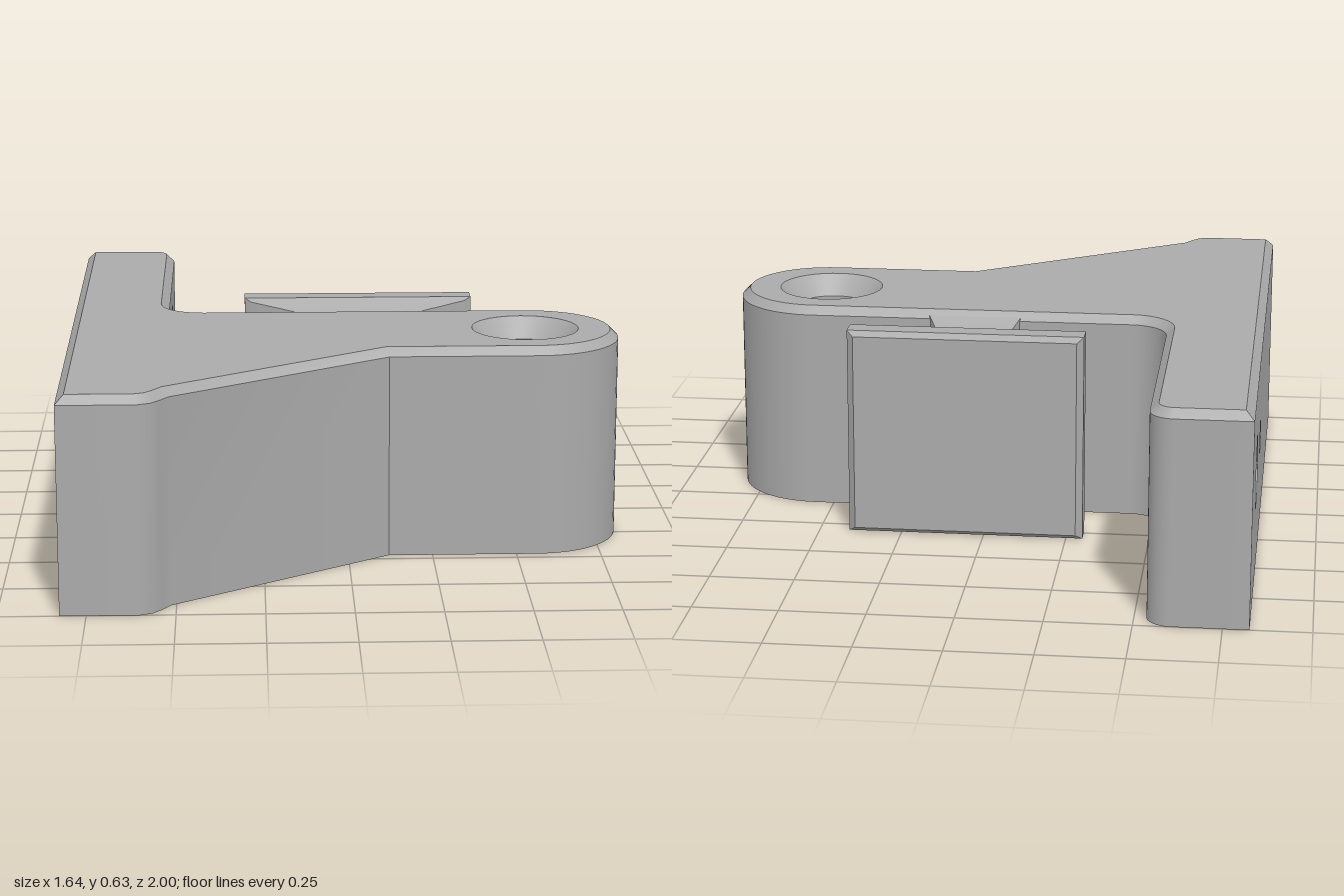
import * as THREE from 'three';
import { toCreasedNormals } from 'three/addons/utils/BufferGeometryUtils.js';

// Working frame: x right, v towards the back, h up; turned upright at the end.
const H = 0.63, CHAMFER = 0.025, OUTER = -0.825, INNER = -0.535;

function arc(cx, cy, r, from, to, n) {
  return Array.from({ length: n + 1 }, (_, i) => {
    const a = THREE.MathUtils.degToRad(from + (to - from) * i / n);
    return [cx + r * Math.cos(a), cy + r * Math.sin(a)];
  });
}

// Moves each side of a counter-clockwise outline inwards by d
function inset(pts, d) {
  const n = pts.length;
  const normal = (a, b) => new THREE.Vector2(a[1] - b[1], b[0] - a[0]).normalize();
  return pts.map((p, i) => {
    const m = normal(pts[(i + n - 1) % n], p), k = normal(p, pts[(i + 1) % n]);
    const s = d / (1 + m.dot(k));
    return [p[0] + (m.x + k.x) * s, p[1] + (m.y + k.y) * s];
  });
}

// Joins two closed rings of 3D points, leaving out chosen sides
function loft(out, a, b, skip = () => false) {
  a.forEach((p, i) => {
    if (skip(i)) return;
    const j = (i + 1) % a.length;
    out.push(...p, ...a[j], ...b[j], ...p, ...b[j], ...b[i]);
  });
}

// Fills an outline with holes; place() puts each 2D point in space
function cap(out, outline, holes, place, flip = false) {
  const vec = (ring) => ring.map((p) => new THREE.Vector2(...p));
  const all = [...outline, ...holes.flat()];
  for (const [a, b, c] of THREE.ShapeUtils.triangulateShape(vec(outline), holes.map(vec))) {
    for (const i of flip ? [a, c, b] : [a, b, c]) out.push(...place(all[i]));
  }
}

// Round below, pointed above
function teardrop(v, h, r, d) {
  return [...arc(v, h, r, 180, 360, 16), [v + d, h], [v, h + d], [v - d, h]];
}

function toMesh(name, positions, material) {
  const geo = new THREE.BufferGeometry();
  geo.setAttribute('position', new THREE.Float32BufferAttribute(positions, 3));
  geo.rotateX(-Math.PI / 2);
  const mesh = new THREE.Mesh(toCreasedNormals(geo, 0.55), material);
  mesh.name = name;
  return mesh;
}

function bracketBody() {
  const out = [];
  const outline = [
    [OUTER, -1], [-0.6, -1], [-0.565, -0.985], [-0.54, -0.955], [-0.515, -0.915],
    [0.12, -0.465],
    ...arc(0.56, -0.205, 0.26, -90, 90, 32),
    ...arc(-0.425, 0.165, 0.11, 270, 180, 8),
    ...arc(-0.605, 0.93, 0.07, 0, 90, 8),
    [OUTER, 1],
  ];
  const rim = inset(outline, CHAMFER);
  const at = (h) => ([x, v]) => [x, v, h];
  const level = (pts, h) => pts.map(at(h));
  const shoulder = H - CHAMFER;

  // Sides; the two wall faces with holes are filled separately
  const n = outline.length;
  const on = (i, x) => Math.abs(outline[i % n][0] - x) < 1e-6 && Math.abs(outline[(i + 1) % n][0] - x) < 1e-6;
  loft(out, level(outline, 0), level(outline, shoulder), (i) => on(i, OUTER) || on(i, INNER));
  loft(out, level(outline, shoulder), level(rim, H));

  // Upright bolt hole, countersunk at both ends
  const bore = (r) => arc(0.54, -0.205, r, 0, 360, 40).slice(0, -1);
  const steps = [[0, 0.16], [0.06, 0.105], [H - 0.06, 0.105], [H, 0.16]];
  for (let i = 0; i < 3; i++) {
    const [[h0, r0], [h1, r1]] = [steps[i], steps[i + 1]];
    loft(out, level(bore(r1), h1), level(bore(r0), h0));
  }
  cap(out, rim, [bore(0.16)], at(H));
  cap(out, outline, [bore(0.16)], at(0), true);

  // Cross holes through the wall: one countersunk, one small and plain
  const inX = (x) => ([v, h]) => [x, v, h];
  const big = teardrop(0.6, 0.32, 0.1, 0.13);
  const sink = teardrop(0.6, 0.32, 0.165, 0.22);
  const small = teardrop(0.235, 0.32, 0.05, 0.065);
  const tunnel = (r0, x0, r1, x1) => loft(out, r1.map(inX(x1)), r0.map(inX(x0)));
  tunnel(big, OUTER, big, INNER - 0.09);
  tunnel(big, INNER - 0.09, sink, INNER);
  tunnel(small, OUTER, small, INNER);

  const rect = (v0, v1) => [[v0, 0], [v1, 0], [v1, shoulder], [v0, shoulder]];
  cap(out, rect(0.165, 0.93), [sink, small], inX(INNER));
  cap(out, rect(-1, 1), [big, small], inX(OUTER), true);
  return out;
}

// Waisted neck flaring into the clamp plate: [v, half width, margin in height]
function clampPlate() {
  const out = [];
  const sections = [
    [0.05, 0.14, 0.015], [0.085, 0.12, 0.04], [0.135, 0.115, 0.06], [0.17, 0.14, 0.045],
    [0.222, 0.335, 0.01], [0.235, 0.355, 0], [0.3, 0.355, 0], [0.32, 0.335, 0.015],
  ];
  const rings = sections.map(([v, w, m]) => [
    [0.055 - w, v, m], [0.055 - w, v, H - m], [0.055 + w, v, H - m], [0.055 + w, v, m],
  ]);
  for (let i = 1; i < rings.length; i++) loft(out, rings[i - 1], rings[i]);
  const [a, b, c, d] = rings.at(-1);
  out.push(...a, ...b, ...c, ...a, ...c, ...d);
  return out;
}

export function createModel() {
  const grey = new THREE.MeshStandardMaterial({ color: 0xaaaaaa });
  grey.name = 'grey plastic';
  const group = new THREE.Group();
  group.name = 'bracket';
  group.add(toMesh('bracketBody', bracketBody(), grey));
  group.add(toMesh('clampPlate', clampPlate(), grey));
  return group;
}
